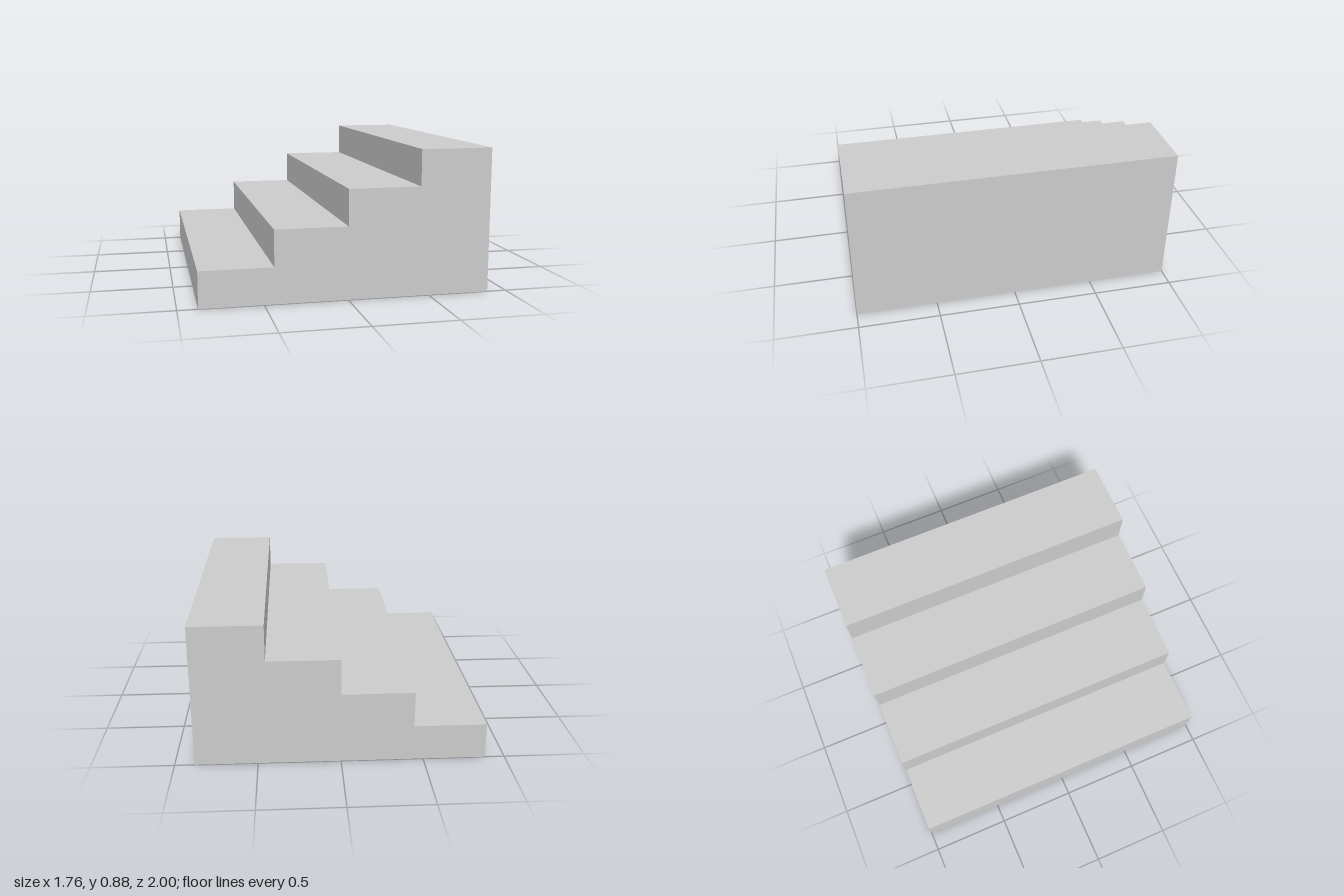
import * as THREE from 'three';

const STEPS = 4;
const TREAD = 0.44;
const RISE = 0.221;
const WIDTH = 2;

export function createModel() {
  const group = new THREE.Group();
  group.name = 'staircase';

  // Stepped side profile, climbing towards +x
  const half = (STEPS * TREAD) / 2;
  const profile = new THREE.Shape();
  profile.moveTo(-half, 0);
  profile.lineTo(half, 0);
  for (let i = STEPS; i > 0; i--) {
    profile.lineTo(-half + i * TREAD, i * RISE);
    profile.lineTo(-half + (i - 1) * TREAD, i * RISE);
  }
  profile.closePath();

  // Solid flight of steps, extruded across its width and centred on z
  const geometry = new THREE.ExtrudeGeometry(profile, { depth: WIDTH, bevelEnabled: false });
  geometry.translate(0, 0, -WIDTH / 2);
  const steps = new THREE.Mesh(
    geometry,
    new THREE.MeshStandardMaterial({ color: 0xcccccc, flatShading: true })
  );
  steps.name = 'steps';
  group.add(steps);

  return group;
}
